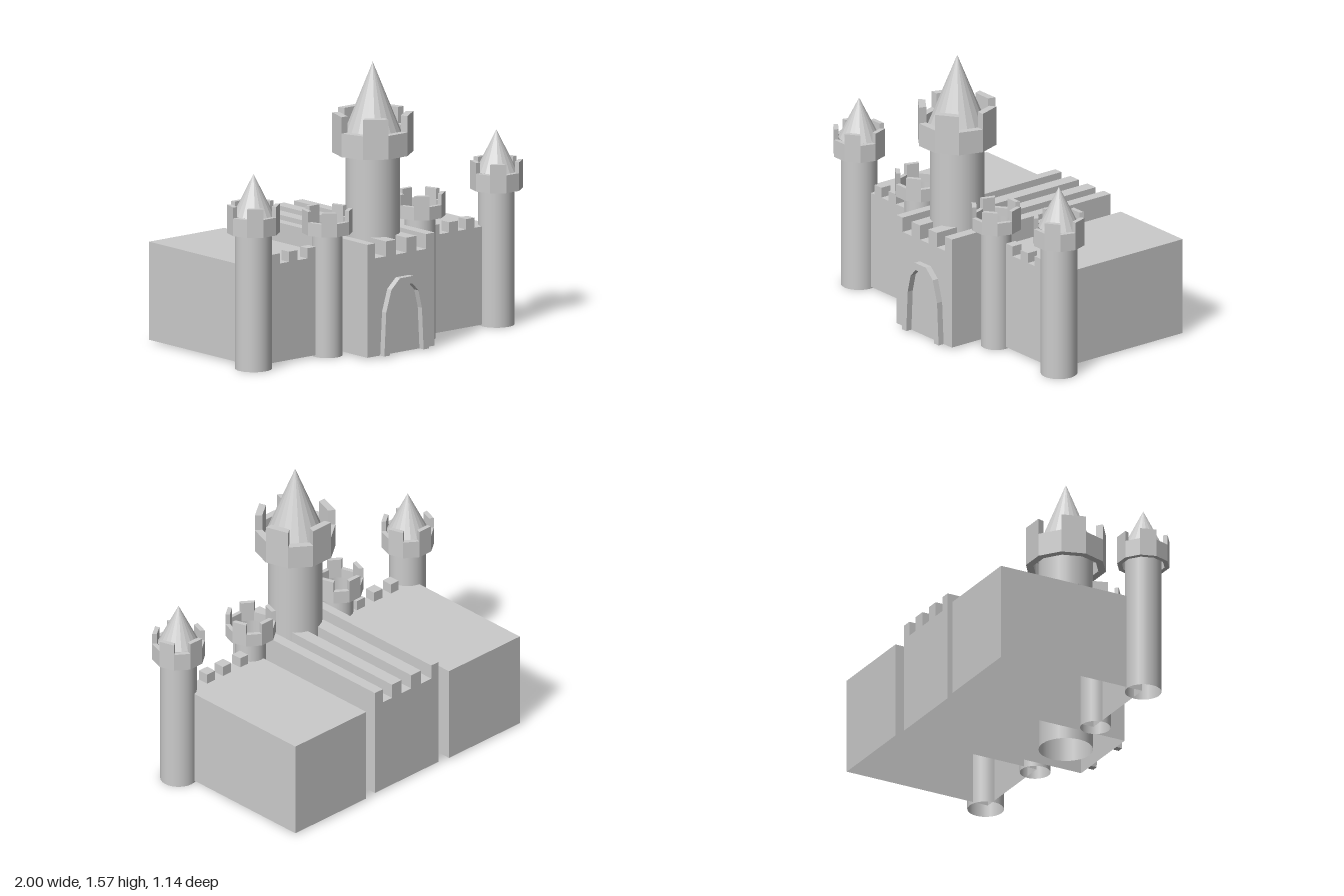
import * as THREE from 'three';

const TOWER_Z = 0.304;
const material = new THREE.MeshStandardMaterial({ color: 0xcccccc, side: THREE.DoubleSide, flatShading: true });
const smooth = new THREE.MeshStandardMaterial({ color: 0xcccccc, side: THREE.DoubleSide });

function addMesh(parent, name, geometry, mat = material) {
  const mesh = new THREE.Mesh(geometry, mat);
  mesh.name = name;
  parent.add(mesh);
  return mesh;
}

// Removes the downward faces, leaving a shell open to the ground
function openBottom(source) {
  const geo = source.index ? source.toNonIndexed() : source;
  const p = geo.attributes.position, n = geo.attributes.normal, kept = [];
  for (let i = 0; i < p.count; i += 3) {
    if (n.getY(i) < -0.9) continue;
    for (let k = i; k < i + 3; k++) kept.push(p.getX(k), p.getY(k), p.getZ(k));
  }
  const out = new THREE.BufferGeometry();
  out.setAttribute('position', new THREE.Float32BufferAttribute(kept, 3));
  out.computeVertexNormals();
  return out;
}

function box(x0, x1, y0, y1, z0, z1) {
  return new THREE.BoxGeometry(x1 - x0, y1 - y0, z1 - z0)
    .translate((x0 + x1) / 2, (y0 + y1) / 2, (z0 + z1) / 2);
}

function extrude(points, z0, z1) {
  const shape = new THREE.Shape(points.map(([x, y]) => new THREE.Vector2(x, y)));
  return new THREE.ExtrudeGeometry(shape, { depth: z1 - z0, bevelEnabled: false }).translate(0, 0, z0);
}

// One merlon over a side of the ten-sided parapet
function merlon(inner, outer, y0, y1, a0, a1) {
  const at = (r, a) => [r * Math.cos(a), -r * Math.sin(a)];
  const geo = extrude([at(inner, a0), at(outer, a0), at(outer, a1), at(inner, a1)], y0, y1);
  return geo.rotateX(-Math.PI / 2);
}

function tower(name, { x, r, capR, innerR, capY, ringY, topY, cone }) {
  const group = new THREE.Group();
  group.name = name;
  group.position.set(x, 0, TOWER_Z);

  const shaftTop = (capY + ringY) / 2;
  addMesh(group, 'shaft', new THREE.CylinderGeometry(r, r, shaftTop, 24, 1, true).translate(0, shaftTop / 2, 0), smooth);

  // Hollow ten-sided parapet ring with a corner on each side of x
  const profile = [[innerR, capY], [capR, capY], [capR, ringY], [innerR, ringY], [innerR, capY]];
  addMesh(group, 'parapet', new THREE.LatheGeometry(
    profile.map(([a, b]) => new THREE.Vector2(a, b)), 10, Math.PI / 2));

  const step = Math.PI / 5;
  for (let i = 0; i < 5; i++) {
    const a = (2 * i + 1) * step;
    addMesh(group, 'merlon', merlon(innerR, capR, ringY, topY, a, a + step));
  }

  if (cone) {
    const h = cone.apex - cone.base;
    addMesh(group, 'spire', new THREE.ConeGeometry(cone.r, h, 20, 1, true).translate(0, cone.base + h / 2, 0));
  }
  return group;
}

export function createModel() {
  const model = new THREE.Group();
  model.name = 'castle';

  // Gatehouse: crenellated profile running the full depth
  const edges = [-0.25, -0.197, -0.12, -0.047, 0.025, 0.097, 0.165, 0.225];
  const outline = [[0.225, 0.01]];
  for (let i = edges.length - 1; i > 0; i -= 2) {
    outline.push([edges[i], 0.632], [edges[i - 1], 0.632]);
    if (i > 1) outline.push([edges[i - 1], 0.55], [edges[i - 2], 0.55]);
  }
  outline.push([-0.25, 0.01]);
  addMesh(model, 'gatehouse', openBottom(extrude(outline, -0.56, 0.535)));

  // Raised frame around the gate
  addMesh(model, 'gateArch', extrude([
    [-0.16, 0.01], [-0.147, 0.25], [-0.11, 0.37], [-0.05, 0.425],
    [0.045, 0.425], [0.105, 0.37], [0.142, 0.25], [0.155, 0.01],
    [0.117, 0.01], [0.105, 0.24], [0.08, 0.34], [0.037, 0.385],
    [-0.042, 0.385], [-0.085, 0.34], [-0.11, 0.24], [-0.122, 0.01],
  ], 0.535, 0.57));

  // Side wings with merlons along the front edge
  const wings = [
    { name: 'leftWing', x: [0.3, 0.83], merlons: [[0.4, 0.457], [0.525, 0.588], [0.645, 0.705]] },
    { name: 'rightWing', x: [-0.85, -0.32], merlons: [[-0.727, -0.67], [-0.607, -0.545], [-0.475, -0.415]] },
  ];
  for (const { name, x, merlons } of wings) {
    const wing = new THREE.Group();
    wing.name = name;
    addMesh(wing, 'wingBlock', openBottom(box(x[0], x[1], 0.01, 0.55, -0.57, 0.302)));
    for (const [a, b] of merlons) addMesh(wing, 'wallMerlon', box(a, b, 0.55, 0.606, 0.24, 0.302));
    model.add(wing);
  }

  // Towers
  model.add(tower('centralTower', {
    x: -0.016, r: 0.147, capR: 0.219, innerR: 0.178, capY: 1.073, ringY: 1.203, topY: 1.293,
    cone: { r: 0.172, base: 1.14, apex: 1.568 },
  }));
  for (const x of [-0.858, 0.857]) {
    model.add(tower(x > 0 ? 'leftOuterTower' : 'rightOuterTower', {
      x, r: 0.099, capR: 0.143, innerR: 0.117, capY: 0.748, ringY: 0.846, topY: 0.905,
      cone: { r: 0.112, base: 0.846, apex: 1.07 },
    }));
  }
  for (const x of [-0.337, 0.318]) {
    model.add(tower(x > 0 ? 'leftInnerTower' : 'rightInnerTower', {
      x, r: 0.083, capR: 0.137, innerR: 0.112, capY: 0.675, ringY: 0.747, topY: 0.806,
    }));
  }
  return model;
}
